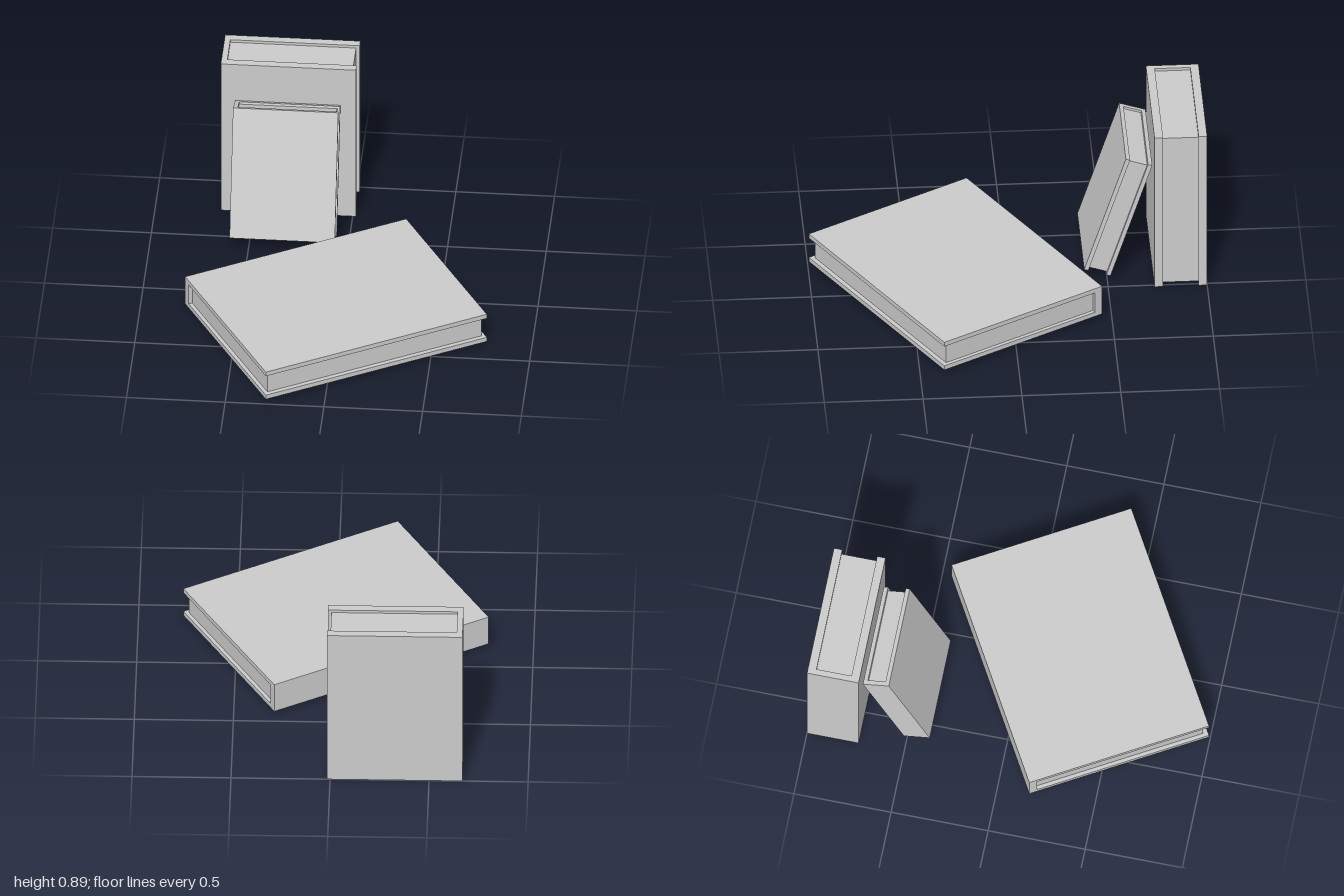
import * as THREE from 'three';

const material = new THREE.MeshStandardMaterial({ color: 0xcccccc, flatShading: true });

// Upright book, centred on its origin: spine at -x, height along y, thickness along z
function makeBook(name, { width, height, thick, board, spine, inset, recess }) {
  const book = new THREE.Group();
  book.name = name;
  const w = width / 2, t = thick / 2, inner = t - board;

  // Cover: a U-shaped section (two boards and the spine) run along the height
  const section = new THREE.Shape([
    [-w, -t], [w, -t], [w, -inner], [-w + spine, -inner],
    [-w + spine, inner], [w, inner], [w, t], [-w, t],
  ].map(([x, y]) => new THREE.Vector2(x, y)));
  const coverGeometry = new THREE.ExtrudeGeometry(section, { depth: height, bevelEnabled: false });
  coverGeometry.translate(0, 0, -height / 2).rotateX(-Math.PI / 2);
  const cover = new THREE.Mesh(coverGeometry, material);
  cover.name = 'cover';

  // Page block, set back from head, tail and fore edge
  const pageWidth = width - spine - recess;
  const pages = new THREE.Mesh(
    new THREE.BoxGeometry(pageWidth, height - 2 * inset, inner * 2), material);
  pages.position.x = (spine - recess) / 2;
  pages.name = 'pages';

  book.add(cover, pages);
  return book;
}

export function createModel() {
  const model = new THREE.Group();
  model.name = 'books';

  // Thick book standing at the back
  const standing = makeBook('standingBook', {
    width: 0.685, height: 0.888, thick: 0.266, board: 0.043, spine: 0.03, inset: 0.015, recess: 0.018,
  });
  standing.position.set(-0.326, 0.444, -0.867);

  // Thin book leaning back against it
  const leaning = makeBook('leaningBook', {
    width: 0.533, height: 0.683, thick: 0.14, board: 0.022, spine: 0.023, inset: 0.012, recess: 0.014,
  });
  leaning.position.set(-0.328, 0.372, -0.555);
  leaning.rotation.x = THREE.MathUtils.degToRad(-18);

  // Large book lying flat, turned at an angle
  const lying = makeBook('lyingBook', {
    width: 0.957, height: 1.233, thick: 0.165, board: 0.025, spine: 0.042, inset: 0.02, recess: 0.024,
  });
  lying.position.set(0, 0.108, 0.272);
  lying.rotation.set(-Math.PI / 2, -Math.PI / 3, 0, 'YXZ');

  model.add(standing, leaning, lying);
  return model;
}
